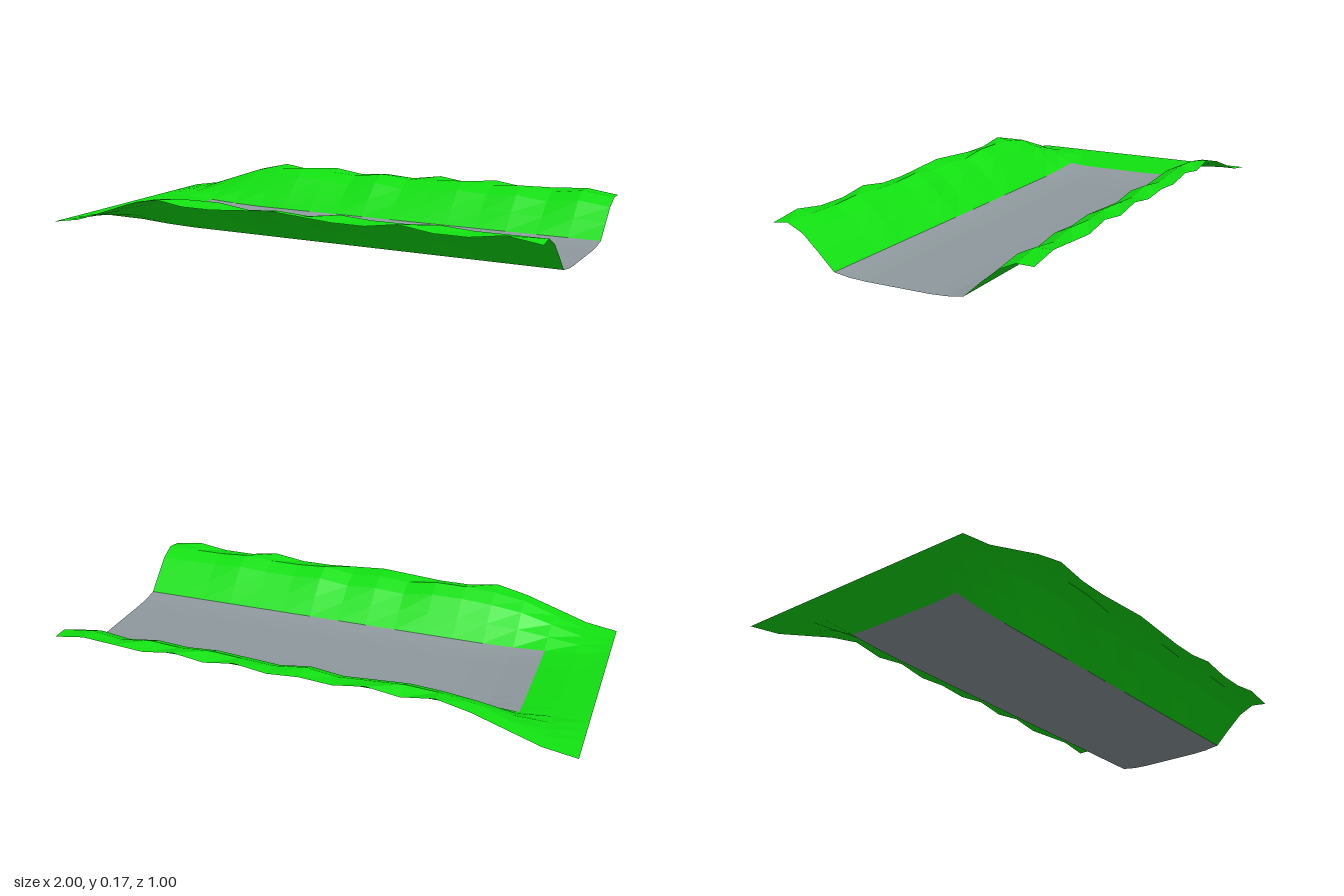
import * as THREE from 'three';

const STEP_X = 0.125, STEP_Z = 0.0625;

// Height across half the channel, from the centre line out to the rim
const PROFILE = [0, 0, 0, 0.003, 0.012, 0.072, 0.128, 0.157, 0.157];
// How far the channel has sunk and its banks have risen, from the closed end on
const BLEND = [0, 0.16, 0.5, 0.84, 1];
const END_HEIGHT = 0.033;

// Waviness of the rim (+1 high, -1 low) for each column along the length
const FRONT_RIM = [0, 0, 0, 0, 1, -1, -1, 0, 1, 0, -1, -1, 1, -1, -1, 1, -1];
const FRONT_CREST = [0, 0, 0, 0, 0, 1, 1, -1, 0, -1, 1, 0, 0, 1, 0, 0, 0];
const BACK_RIM = [0, 0, 0, 0, 1, -1, 1, -1, 0, -1, 1, -1, 1, -1, 0, 1, -1];
const BACK_CREST = [0, 0, 0, 0, 0, 1, 0, -1, 1, -1, 0, 1, 0, 1, -1, 1, -1];

function height(x, z) {
  const column = Math.round((x + 1) / STEP_X);
  const row = Math.round(Math.abs(z) / STEP_Z);
  const rim = z > 0 ? FRONT_RIM : BACK_RIM;
  const crest = z > 0 ? FRONT_CREST : BACK_CREST;
  let y = PROFILE[row];
  if (row === 8) y += 0.009 * rim[column];
  if (row === 7 || row === 6) y += 0.008 * crest[column];
  if (row === 5) y += 0.004 * crest[column];
  const blend = BLEND[Math.min(column, BLEND.length - 1)];
  return END_HEIGHT + (y - END_HEIGHT) * blend;
}

// Rectangular piece of the ground sheet, shaped by the height rule
function patch(name, x0, x1, z0, z1, material) {
  const geometry = new THREE.PlaneGeometry(
    x1 - x0, z1 - z0,
    Math.round((x1 - x0) / STEP_X), Math.round((z1 - z0) / STEP_Z)
  );
  geometry.rotateX(-Math.PI / 2);
  geometry.translate((x0 + x1) / 2, 0, (z0 + z1) / 2);
  const position = geometry.attributes.position;
  for (let i = 0; i < position.count; i++) {
    position.setY(i, height(position.getX(i), position.getZ(i)));
  }
  geometry.computeVertexNormals();
  const mesh = new THREE.Mesh(geometry, material);
  mesh.name = name;
  return mesh;
}

export function createModel() {
  const group = new THREE.Group();
  group.name = 'channelTerrain';
  const grass = new THREE.MeshStandardMaterial({
    color: 0x11e011, flatShading: true, side: THREE.DoubleSide
  });
  const stone = new THREE.MeshStandardMaterial({
    color: 0x8f9a9e, flatShading: true, side: THREE.DoubleSide
  });

  // Grey floor, open at the +x end
  group.add(patch('channelFloor', -0.75, 1, -0.25, 0.25, stone));
  // Grassy slope closing the other end
  group.add(patch('endSlope', -1, -0.75, -0.5, 0.5, grass));
  // Wavy banks along both sides
  group.add(patch('frontBank', -0.75, 1, 0.25, 0.5, grass));
  group.add(patch('backBank', -0.75, 1, -0.5, -0.25, grass));
  return group;
}
